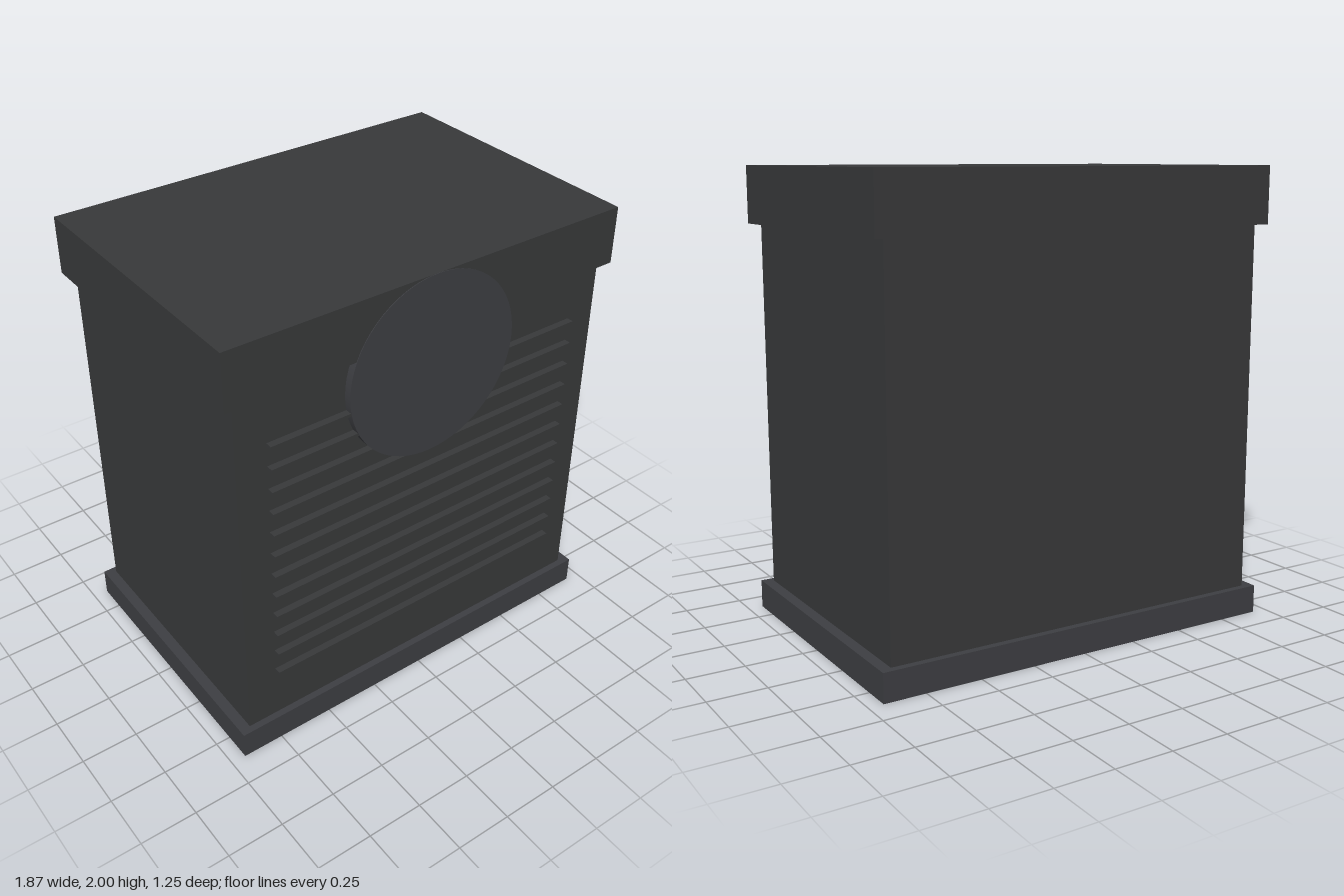
import * as THREE from 'three';

export function createModel() {
  const model = new THREE.Group();
  const shell = new THREE.MeshStandardMaterial({ color: 0x38393a });
  const trim = new THREE.MeshStandardMaterial({ color: 0x3d3e42 });

  const add = (name, geometry, material, x, y, z) => {
    const mesh = new THREE.Mesh(geometry, material);
    mesh.name = name;
    mesh.position.set(x, y, z);
    model.add(mesh);
    return mesh;
  };

  // Cabinet: plinth, body and overhanging lid
  add('base', new THREE.BoxGeometry(1.87, 0.125, 1.248), trim, 0, 0.0625, 0);
  add('body', new THREE.BoxGeometry(1.774, 1.625, 1.188), shell, 0, 0.9375, 0);
  add('lid', new THREE.BoxGeometry(1.87, 0.25, 1.248), shell, 0, 1.875, 0);

  // Horizontal grille slats on the front
  const slat = new THREE.BoxGeometry(1.5, 0.014, 0.05);
  for (let i = 0; i < 12; i++) {
    add('grilleSlat', slat, shell, 0, 0.377 + i * 0.1045, 0.599);
  }

  // Round dial set into the front, just proud of the lid
  const disc = new THREE.CylinderGeometry(0.399, 0.399, 0.046, 64).rotateX(Math.PI / 2);
  add('dial', disc, trim, 0, 1.601, 0.604);

  return model;
}
